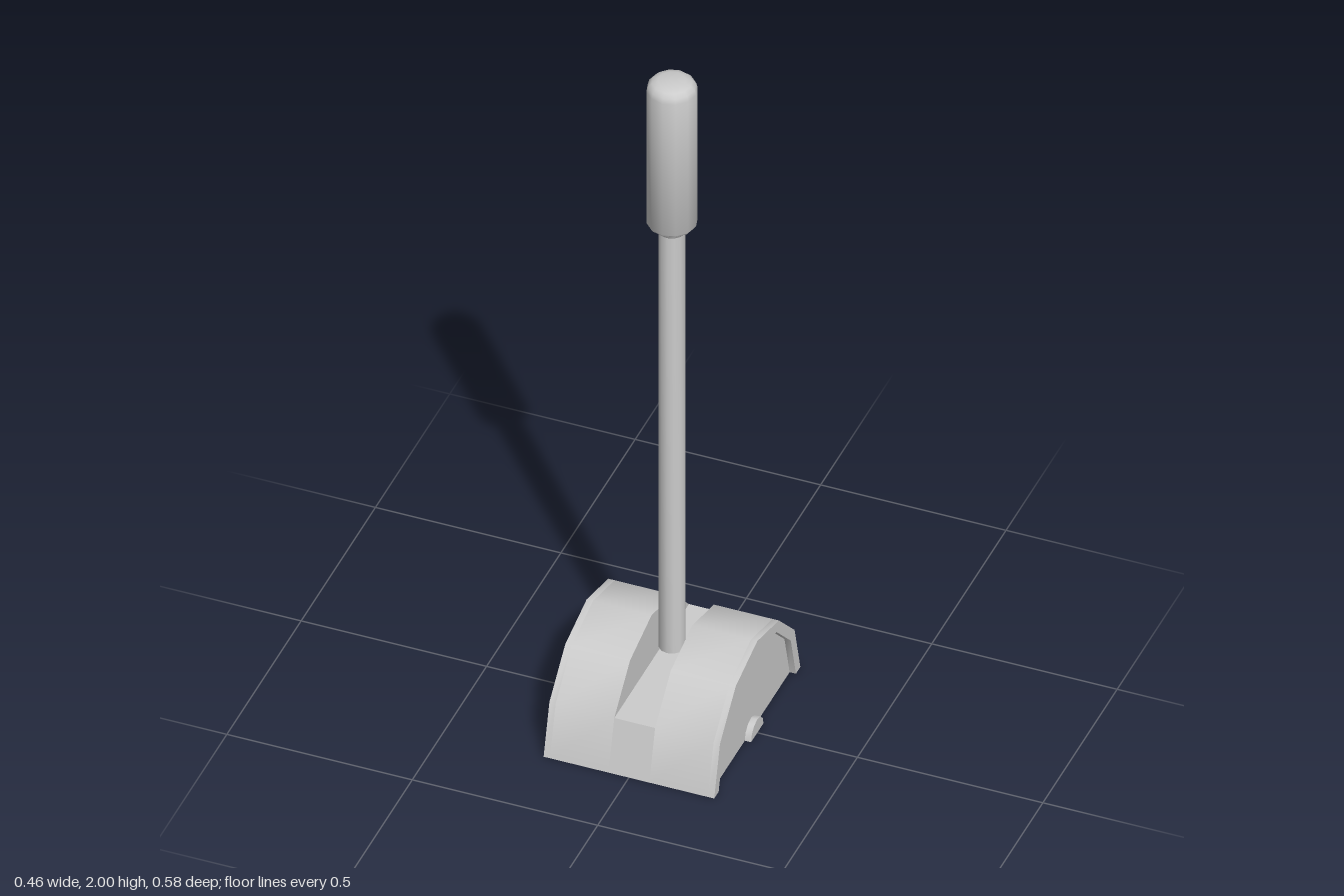
import * as THREE from 'three';
import { toCreasedNormals } from 'three/addons/utils/BufferGeometryUtils.js';

const material = new THREE.MeshStandardMaterial({ color: 0xcccccc });

// Points of a half polygon in the (z, y) plane, from +z over the top to -z
function arc(radius, sides) {
  return Array.from({ length: sides + 1 }, (_, i) => {
    const a = (i / sides) * Math.PI;
    return new THREE.Vector2(radius * Math.cos(a), Math.max(0, radius * Math.sin(a)));
  });
}

// Extrude a (z, y) outline along x between x0 and x1, smoothing shallow edges
function slab(name, points, x0, x1) {
  const extruded = new THREE.ExtrudeGeometry(new THREE.Shape(points), {
    depth: x1 - x0, bevelEnabled: false,
  });
  extruded.rotateY(Math.PI / 2).translate(x0, 0, 0);
  const mesh = new THREE.Mesh(toCreasedNormals(extruded, 0.7), material);
  mesh.name = name;
  return mesh;
}

function turned(name, profile) {
  const points = profile.map(([r, y]) => new THREE.Vector2(r, y));
  const geometry = toCreasedNormals(new THREE.LatheGeometry(points, 12), 0.8);
  const mesh = new THREE.Mesh(geometry, material);
  mesh.name = name;
  return mesh;
}

export function createModel() {
  const model = new THREE.Group();
  model.name = 'lever';

  const R = 0.29, rimInner = 0.26;
  const slotHalf = 0.055, faceX = 0.213, rimX = 0.23;
  const outer = arc(R, 6);

  // Half-drum base with a slot across the middle
  const base = new THREE.Group();
  base.name = 'base';
  base.add(slab('slotFloor', [outer[0], outer[1], outer[5], outer[6]], -slotHalf, slotHalf));

  const rim = [...outer, ...arc(rimInner, 6).reverse()];
  const hub = arc(0.042, 6);
  for (const [side, s] of [['left', 1], ['right', -1]]) {
    const span = (a, b) => (s > 0 ? [a, b] : [-b, -a]);
    base.add(slab(side + 'Cheek', outer, ...span(slotHalf, faceX)));
    base.add(slab(side + 'Rim', rim, ...span(faceX, rimX)));
    base.add(slab(side + 'PivotHub', hub, ...span(faceX, rimX)));
  }
  model.add(base);

  // Rod standing in the slot
  model.add(turned('rod', [[0, 0.21], [0.034, 0.21], [0.034, 1.55], [0, 1.55]]));

  // Grip with a small collar below and a rounded top
  model.add(turned('grip', [
    [0, 1.525], [0.036, 1.525], [0.048, 1.542], [0.048, 1.548], [0.06, 1.548], [0.065, 1.555],
    [0.065, 1.97], [0.061, 1.984], [0.051, 1.994], [0.036, 1.999], [0, 2],
  ]));

  return model;
}
